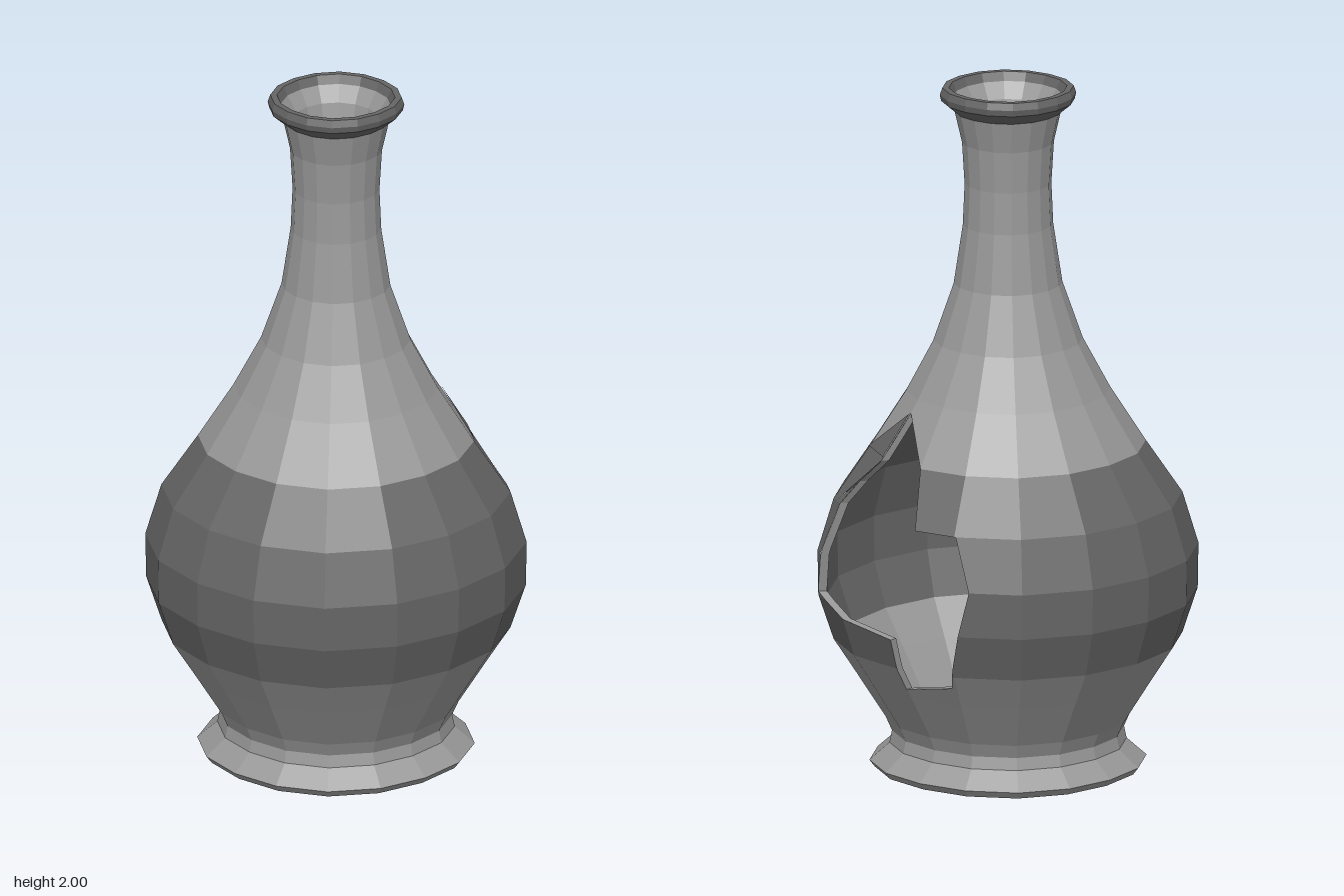
import * as THREE from 'three';

const SIDES = 16;
const light = new THREE.MeshStandardMaterial({ color: 0x999999 });
light.name = 'light grey glaze';
const dark = new THREE.MeshStandardMaterial({ color: 0x666666 });
dark.name = 'dark grey glaze';

// Wall profile as [radius, height]
const outer = [
  [0.38, 0.045], [0.325, 0.095], [0.318, 0.13], [0.335, 0.17], [0.415, 0.3], [0.478, 0.4],
  [0.52, 0.53], [0.522, 0.66], [0.478, 0.81], [0.378, 0.962], [0.28, 1.12], [0.205, 1.265],
  [0.149, 1.43], [0.124, 1.6], [0.119, 1.72], [0.126, 1.84], [0.146, 1.93],
];
const inner = outer.slice(2).map(([r, y]) => [r - 0.024, y]);
inner.push([0.15, 1.975]);
const patchRows = outer.map(([r, y]) => [r + 0.004, y]);

// Outline of the broken opening as [degrees from the back towards +x, height]
const hole = [
  [22.5, 1.085], [0, 0.962], [-7, 0.81], [-23, 0.81], [-28.5, 0.66], [-20.5, 0.36],
  [0.5, 0.33], [0, 0.49], [22.5, 0.51], [45, 0.54], [38, 0.81], [34, 0.88], [26, 0.95],
].map(([a, y]) => new THREE.Vector2(8 - a / 22.5, y));

// The round is slightly fuller on the diagonals
const fullness = (a) => 1 + 0.03 * Math.sin(2 * a) ** 2;

// Point on a faceted wall: u counts sides around, y is height
function wallPoint(rows, u, y) {
  let i = 0;
  while (i < rows.length - 2 && y > rows[i + 1][1]) i++;
  const [r0, y0] = rows[i], [r1, y1] = rows[i + 1];
  const r = THREE.MathUtils.mapLinear(y, y0, y1, r0, r1);
  const corner = (k) => {
    const a = (k / SIDES) * Math.PI * 2, f = r * fullness(a);
    return new THREE.Vector3(Math.sin(a) * f, y, Math.cos(a) * f);
  };
  const k = Math.floor(u);
  return corner(k).lerp(corner(k + 1), u - k);
}

// Split a convex polygon by the line a-b into its left and right parts
function split(poly, a, b) {
  const left = [], right = [];
  const side = (p) => (b.x - a.x) * (p.y - a.y) - (b.y - a.y) * (p.x - a.x);
  poly.forEach((p, i) => {
    const q = poly[(i + 1) % poly.length], sp = side(p), sq = side(q);
    if (sp >= 0) left.push(p);
    if (sp <= 0) right.push(p);
    if (sp * sq < 0) {
      const m = p.clone().lerp(q, sp / (sp - sq));
      left.push(m);
      right.push(m);
    }
  });
  return [left, right];
}

// Convex pieces of a polygon that lie outside a triangle
function subtract(poly, tri) {
  const pieces = [];
  let rest = poly;
  for (let i = 0; i < 3 && rest.length > 2; i++) {
    const [left, right] = split(rest, tri[i], tri[(i + 1) % 3]);
    if (right.length > 2) pieces.push(right);
    rest = left;
  }
  return rest.length > 2 ? pieces : [poly];
}

const holeTriangles = THREE.ShapeUtils.triangulateShape(hole, []).map((f) => {
  const t = f.map((i) => hole[i]);
  return THREE.ShapeUtils.area(t) < 0 ? t.reverse() : t;
});

function meshFrom(name, points, material) {
  const geometry = new THREE.BufferGeometry().setFromPoints(points);
  geometry.computeVertexNormals();
  const mesh = new THREE.Mesh(geometry, material);
  mesh.name = name;
  return mesh;
}

// Triangles of one flat facet, with the opening cut out
function facet(rows, corners, inward = false) {
  const points = [];
  let pieces = [corners.map((p) => new THREE.Vector2(...p))];
  for (const tri of holeTriangles) pieces = pieces.flatMap((p) => subtract(p, tri));
  for (const piece of pieces) {
    const loop = piece.map((p) => wallPoint(rows, p.x, p.y));
    if (inward) loop.reverse();
    for (let k = 1; k < loop.length - 1; k++) {
      const t = new THREE.Triangle(loop[0], loop[k], loop[k + 1]);
      if (t.getArea() > 1e-7) points.push(t.a, t.b, t.c);
    }
  }
  return points;
}

// Faceted wall between two rows
function wall(name, rows, from, to, material, inward = false) {
  const points = [];
  for (let i = from; i < to; i++) {
    const y0 = rows[i][1], y1 = rows[i + 1][1];
    for (let u = 0; u < SIDES; u++) {
      points.push(...facet(rows, [[u, y0], [u + 1, y0], [u + 1, y1], [u, y1]], inward));
    }
  }
  return meshFrom(name, points, material);
}

// Thickness of the wall along the broken edge
function brokenEdge() {
  const points = [], steps = 12;
  const forward = THREE.ShapeUtils.area(hole) > 0;
  hole.forEach((a, i) => {
    const b = hole[(i + 1) % hole.length];
    for (let s = 0; s < steps; s++) {
      const p = a.clone().lerp(b, s / steps), q = a.clone().lerp(b, (s + 1) / steps);
      const po = wallPoint(outer, p.x, p.y), qo = wallPoint(outer, q.x, q.y);
      const pi = wallPoint(inner, p.x, p.y), qi = wallPoint(inner, q.x, q.y);
      // faces point into the opening
      if (forward) points.push(po, qo, qi, po, qi, pi);
      else points.push(po, qi, qo, po, pi, qi);
    }
  });
  return meshFrom('brokenEdge', points, light);
}

// Plain turned part with flat facets
function turned(name, profile, material) {
  const geometry = new THREE.LatheGeometry(profile.map((p) => new THREE.Vector2(...p)), SIDES).toNonIndexed();
  const pos = geometry.attributes.position;
  for (let i = 0; i < pos.count; i++) {
    const f = fullness(Math.atan2(pos.getX(i), pos.getZ(i)));
    pos.setXYZ(i, pos.getX(i) * f, pos.getY(i), pos.getZ(i) * f);
  }
  geometry.computeVertexNormals();
  const mesh = new THREE.Mesh(geometry, material);
  mesh.name = name;
  return mesh;
}

export function createModel() {
  const vase = new THREE.Group();
  vase.name = 'brokenVase';
  const top = outer.length - 1;
  vase.add(
    // outside
    turned('base', [[0, 0], [0.2, 0.008], [0.365, 0.025], [0.38, 0.045]], light),
    wall('foot', outer, 0, 5, light),
    wall('belly', outer, 5, 9, dark),
    wall('neck', outer, 9, top, light),
    meshFrom('darkCornerAboveBreak', facet(patchRows, [[6, 0.962], [7, 0.962], [7, 1.085]]), dark),
    turned('lip', [outer[top], [0.183, 1.962], [0.187, 1.98], [0.18, 2], [0.162, 2], [0.15, 1.975]], dark),
    // inside
    wall('innerFoot', inner, 0, 3, light, true),
    wall('innerBelly', inner, 3, 7, dark, true),
    wall('innerNeck', inner, 7, inner.length - 1, light, true),
    turned('innerFloor', [inner[0], [0, inner[0][1]]], light),
    brokenEdge(),
  );
  vase.children.forEach((part) => { part.position.z = -0.008; });
  return vase;
}
